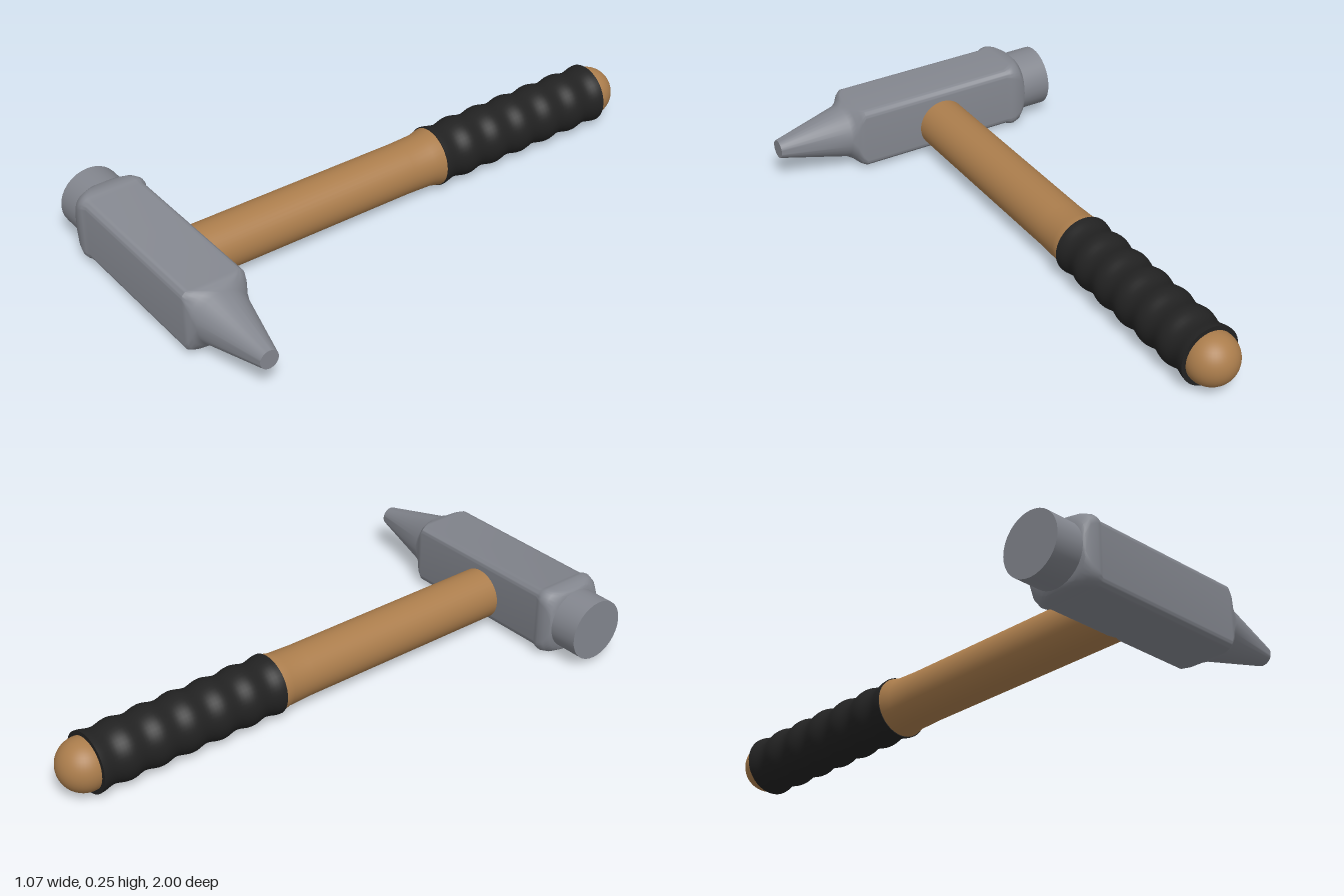
import * as THREE from 'three';
import { toCreasedNormals } from 'three/addons/utils/BufferGeometryUtils.js';

const HANDLE_X = -0.075, HANDLE_Y = 0.106;
const HEAD_Y = 0.127, HEAD_Z = 0.873;

// Loft along x through rounded squares given as [x, halfSize, cornerRadius]
function loftHead(rings) {
  const perCorner = 9, n = perCorner * 4;
  const pos = [], index = [];
  for (const [x, h, r] of rings) {
    for (let c = 0; c < 4; c++) {
      const mid = Math.PI / 4 + c * Math.PI / 2;
      const cy = Math.sign(Math.cos(mid)) * (h - r), cz = Math.sign(Math.sin(mid)) * (h - r);
      for (let k = 0; k < perCorner; k++) {
        const a = c * Math.PI / 2 + (k + 0.02) / (perCorner - 0.96) * Math.PI / 2;
        pos.push(x, cy + r * Math.cos(a), cz + r * Math.sin(a));
      }
    }
  }
  for (let i = 0; i < rings.length - 1; i++) {
    for (let j = 0; j < n; j++) {
      const a = i * n + j, b = i * n + (j + 1) % n;
      index.push(a, b, a + n, b, b + n, a + n);
    }
  }
  // End caps
  const last = (rings.length - 1) * n, c0 = pos.length / 3;
  pos.push(rings[0][0], 0, 0, rings[rings.length - 1][0], 0, 0);
  for (let j = 0; j < n; j++) {
    const k = (j + 1) % n;
    index.push(c0, k, j, c0 + 1, last + j, last + k);
  }
  const geo = new THREE.BufferGeometry();
  geo.setAttribute('position', new THREE.Float32BufferAttribute(pos, 3));
  geo.setIndex(index);
  return toCreasedNormals(geo, 0.6);
}

// Turned part along z from [z, radius] pairs, listed front to back
function turned(profile) {
  const points = profile.map(([z, r]) => new THREE.Vector2(r, -z));
  return toCreasedNormals(new THREE.LatheGeometry(points, 40).rotateX(-Math.PI / 2), 0.7);
}

export function createModel() {
  const steel = new THREE.MeshStandardMaterial({ name: 'steel', color: 0x83868e });
  const wood = new THREE.MeshStandardMaterial({ name: 'wood', color: 0xab7d4c });
  const rubber = new THREE.MeshStandardMaterial({ name: 'rubber', color: 0x222222 });
  const model = new THREE.Group();
  model.name = 'hammer';

  function add(name, geometry, material, x, y, z) {
    const mesh = new THREE.Mesh(geometry, material);
    mesh.name = name;
    mesh.position.set(x, y, z);
    model.add(mesh);
  }

  // Head: round striking face, swollen collar, square body, round tapered peen
  add('head', loftHead([
    [-0.535, 0.109, 0.109],
    [-0.43, 0.109, 0.109],
    [-0.425, 0.114, 0.085],
    [-0.405, 0.12, 0.055],
    [-0.38, 0.123, 0.045],
    [-0.365, 0.119, 0.035],
    [-0.35, 0.112, 0.026],
    [0.235, 0.112, 0.026],
    [0.25, 0.109, 0.045],
    [0.265, 0.101, 0.075],
    [0.285, 0.096, 0.096],
    [0.535, 0.033, 0.033],
  ]), steel, 0, HEAD_Y, HEAD_Z);

  // Shaft with a slight flare where the grip starts
  add('shaft', turned([
    [0.87, 0], [0.87, 0.091], [-0.06, 0.091], [-0.15, 0.094], [-0.19, 0.103], [-0.25, 0.09],
  ]), wood, HANDLE_X, HANDLE_Y, 0);

  // Ribbed grip
  const grip = [[-0.19, 0.08]];
  const steps = 60, ribs = 6;
  for (let i = 0; i <= steps; i++) {
    const t = i / steps;
    grip.push([-0.19 - 0.71 * t, 0.101 + 0.005 * Math.cos(t * ribs * Math.PI * 2)]);
  }
  grip.push([-0.9, 0.08]);
  add('grip', turned(grip), rubber, HANDLE_X, HANDLE_Y, 0);

  // Rounded butt end
  add('pommel', new THREE.SphereGeometry(0.091, 40, 24), wood, HANDLE_X, HANDLE_Y, -0.909);

  return model;
}
